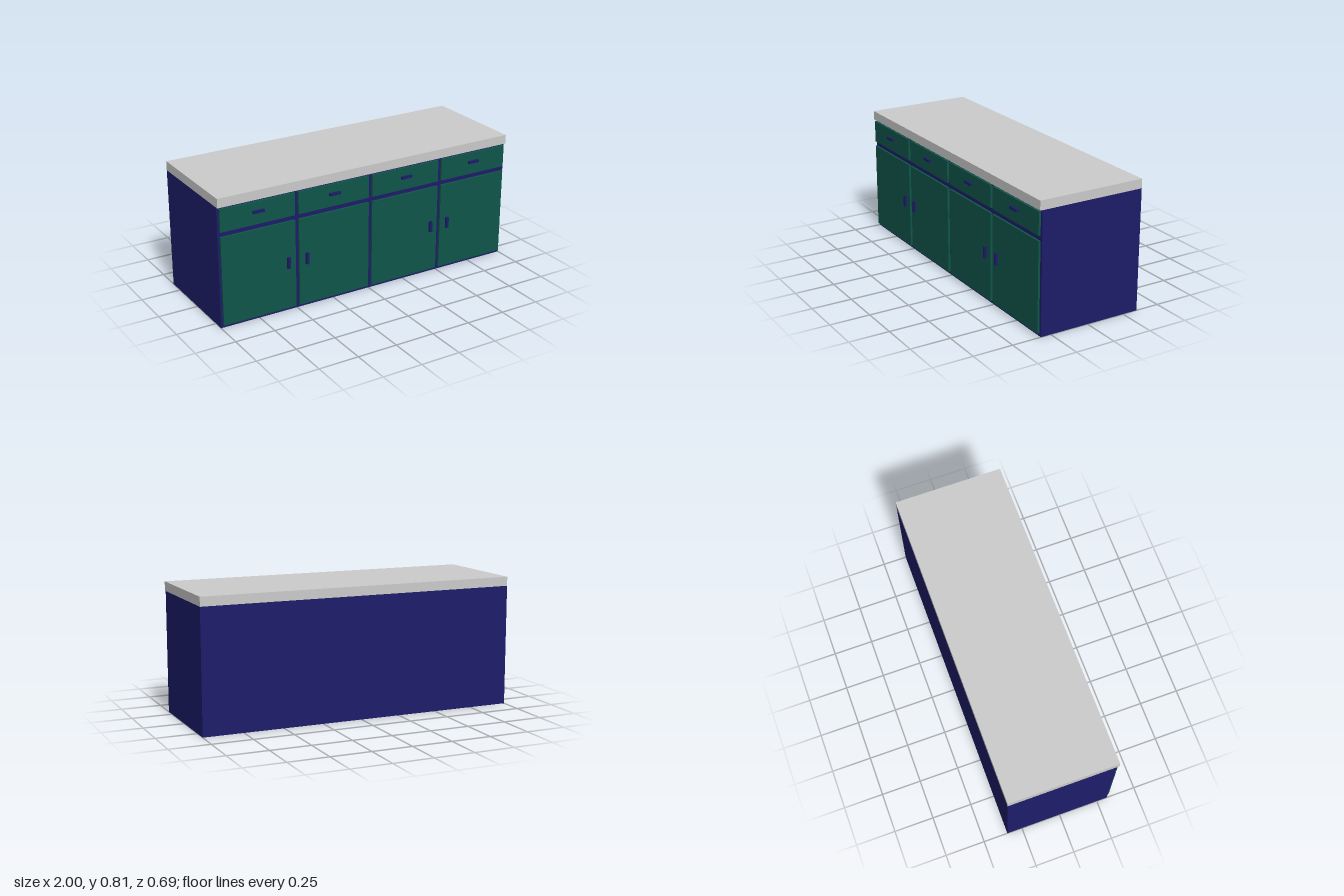
import * as THREE from 'three';

const navy = new THREE.MeshStandardMaterial({ color: 0x1c1c6a });
const green = new THREE.MeshStandardMaterial({ color: 0x10564a });
const grey = new THREE.MeshStandardMaterial({ color: 0xcccccc });

// Box given by its [min, max] extent on each axis
function box(name, material, [x0, x1], [y0, y1], [z0, z1]) {
  const mesh = new THREE.Mesh(new THREE.BoxGeometry(x1 - x0, y1 - y0, z1 - z0), material);
  mesh.name = name;
  mesh.position.set((x0 + x1) / 2, (y0 + y1) / 2, (z0 + z1) / 2);
  return mesh;
}

const around = (centre, half) => [centre - half, centre + half];

export function createModel() {
  const model = new THREE.Group();
  model.name = 'sideboard';

  // Carcass and worktop, flush at the back and sides
  model.add(box('carcass', navy, [-1, 1], [0, 0.752], [-0.347, 0.316]));
  model.add(box('worktop', grey, [-1, 1], [0.752, 0.809], [-0.347, 0.332]));

  const panelZ = [0.319, 0.332];
  const handleZ = [0.332, 0.347];

  // Four bays; the door handles of each pair sit side by side
  [-0.75, -0.25, 0.25, 0.75].forEach((x, i) => {
    const drawer = new THREE.Group();
    drawer.name = 'drawer';
    drawer.add(box('drawerBack', navy, around(x, 0.22), [0.618, 0.727], [0.314, 0.319]));
    drawer.add(box('drawerFront', green, around(x, 0.238), [0.603, 0.742], panelZ));
    drawer.add(box('drawerHandle', navy, around(x, 0.036), [0.675, 0.691], handleZ));

    const door = new THREE.Group();
    door.name = 'door';
    const handleX = x + (i % 2 ? -1 : 1) * 0.188;
    door.add(box('doorPanel', green, around(x, 0.238), [0.02, 0.572], panelZ));
    door.add(box('doorHandle', navy, around(handleX, 0.009), [0.28, 0.35], handleZ));

    model.add(drawer, door);
  });

  return model;
}
